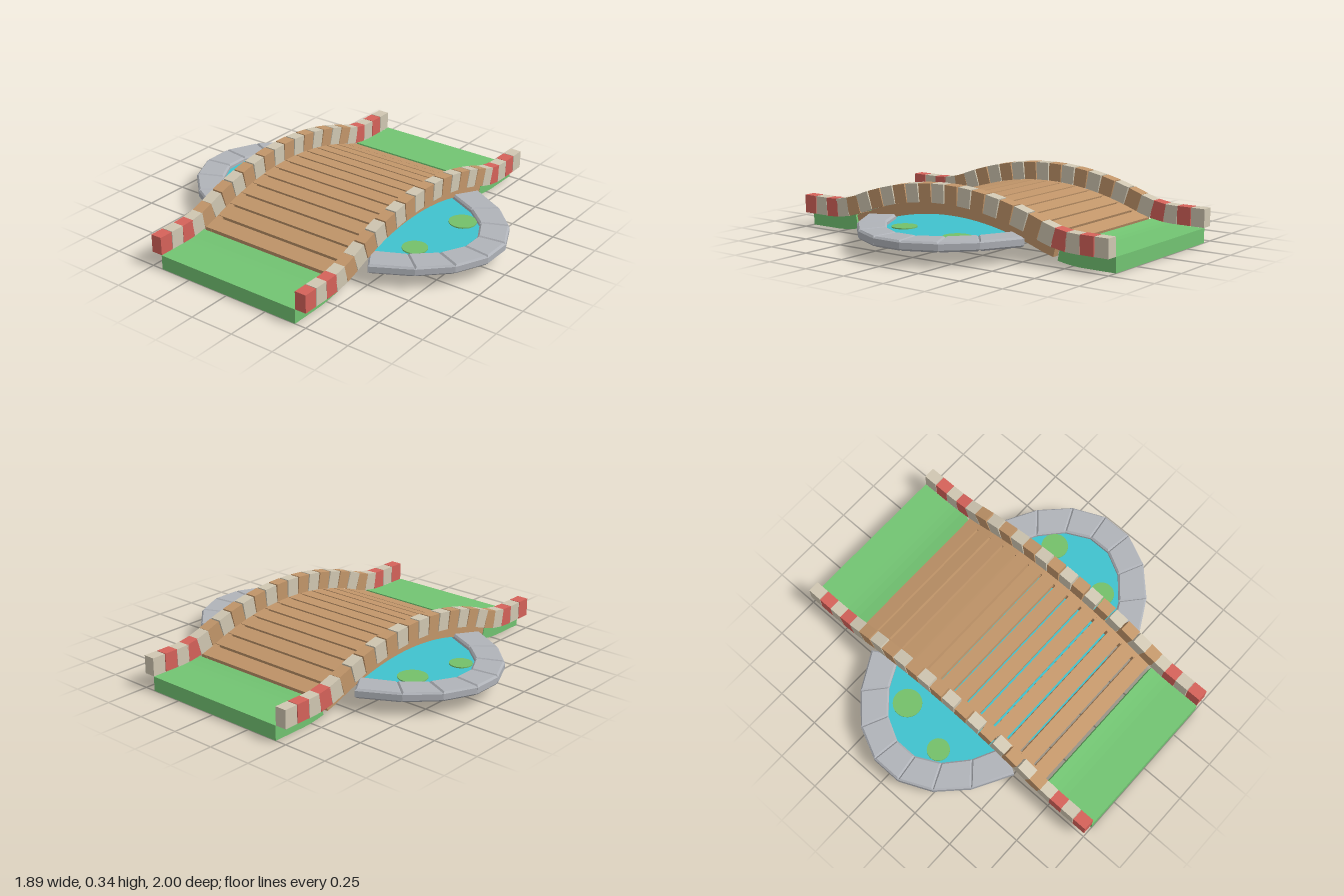
import * as THREE from 'three';

const mat = (name, color) => {
  const m = new THREE.MeshStandardMaterial({ color });
  m.name = name;
  return m;
};

// Height of the walkway surface along z: a crest that eases into flat ends
function heightAt(z) {
  const a = Math.abs(z);
  if (a < 0.573) return 0.235 - 0.33 * a * a;
  if (a < 0.82) return 0.08 + 0.766 * (a - 0.82) ** 2;
  return 0.08;
}
const slopeAt = (z) => (heightAt(z + 0.002) - heightAt(z - 0.002)) / 0.004;

// Point (z, y) at a depth measured square to the walkway surface
function pointBelow(z, depth) {
  const s = slopeAt(z), len = Math.hypot(s, 1);
  return new THREE.Vector2(z + (s / len) * depth, heightAt(z) - depth / len);
}

// Solid strip that follows the walkway from z0 to z1
function curvedStrip(name, z0, z1, top, bottom, width, steps, material) {
  const pts = [];
  for (let i = 0; i <= steps; i++) pts.push(pointBelow(z0 + ((z1 - z0) * i) / steps, bottom));
  for (let i = steps; i >= 0; i--) pts.push(pointBelow(z0 + ((z1 - z0) * i) / steps, top));
  const g = new THREE.ExtrudeGeometry(new THREE.Shape(pts), { depth: width, bevelEnabled: false });
  g.translate(0, 0, -width / 2);
  g.rotateY(-Math.PI / 2);
  const mesh = new THREE.Mesh(g, material);
  mesh.name = name;
  return mesh;
}

// Box lying on the walkway, tilted with it
function boxOnCurve(name, x, z, w, h, pitch, gap, lift, material) {
  const s = slopeAt(z), len = Math.hypot(s, 1);
  const mesh = new THREE.Mesh(new THREE.BoxGeometry(w, h, pitch * len - gap), material);
  const c = pointBelow(z, -lift);
  mesh.position.set(x, c.y, c.x);
  mesh.rotation.x = -Math.atan(s);
  mesh.name = name;
  return mesh;
}

export function createModel() {
  const wood = mat('wood', 0xc2966a);
  const grass = mat('grass', 0x72c472);
  const cream = mat('cream stone', 0xd0c7b2);
  const red = mat('red', 0xd5625a);
  const grey = mat('grey stone', 0xb0b3b9);
  const water = mat('water', 0x40c2ce);
  water.side = THREE.DoubleSide;
  const lily = mat('lily green', 0x74c06a);

  const model = new THREE.Group();
  model.name = 'pondBridge';

  // Grass ramps at both ends
  model.add(curvedStrip('frontGrass', 0.68, 1, 0, 0.08, 0.87, 8, grass));
  model.add(curvedStrip('backGrass', -1, -0.68, 0, 0.08, 0.87, 8, grass));

  // Deck planks
  const deck = new THREE.Group();
  deck.name = 'deck';
  const pitch = 1.33 / 14;
  for (let i = 0; i < 14; i++) {
    const z = -0.665 + (i + 0.5) * pitch;
    deck.add(boxOnCurve('plank', 0, z, 0.87, 0.03, pitch, 0.013, -0.015, wood));
  }
  model.add(deck);

  for (const side of [-1, 1]) {
    // Arched beam under each edge
    const beam = curvedStrip('sideBeam', -0.66, 0.66, 0.003, 0.068, 0.04, 28, wood);
    beam.position.x = side * 0.425;
    model.add(beam);

    // Curb of alternating blocks
    const curb = new THREE.Group();
    curb.name = side > 0 ? 'leftCurb' : 'rightCurb';
    const step = 2 / 24;
    for (let i = 0; i < 24; i++) {
      const m = i % 2 ? cream : i < 4 || i > 19 ? red : wood;
      const z = 1 - (i + 0.5) * step;
      curb.add(boxOnCurve('curbBlock', side * 0.468, z, 0.065, 0.1, step, 0.004, 0.05, m));
    }
    model.add(curb);

    // Stone rim on this side of the pond
    const rim = new THREE.Group();
    rim.name = side > 0 ? 'leftRim' : 'rightRim';
    const joints = [-57.5, -41, -25, -8, 8, 25, 41, 57.5];
    const corner = (deg, a, b) => {
      const t = THREE.MathUtils.degToRad(deg + (side > 0 ? 0 : 180));
      return new THREE.Vector2(a * Math.cos(t), b * Math.sin(t));
    };
    for (let i = 0; i < 7; i++) {
      const [t0, t1] = [joints[i], joints[i + 1]];
      const shape = new THREE.Shape([
        corner(t0, 0.8, 0.46), corner(t0, 0.955, 0.615),
        corner(t1, 0.955, 0.615), corner(t1, 0.8, 0.46),
      ]);
      const g = new THREE.ExtrudeGeometry(shape, {
        depth: 0.032, bevelThickness: 0.01, bevelSize: 0.01, bevelOffset: -0.009, bevelSegments: 1,
      });
      g.rotateX(Math.PI / 2);
      const stone = new THREE.Mesh(g, grey);
      stone.position.y = 0.12;
      stone.name = 'rimStone';
      rim.add(stone);
    }
    model.add(rim);
  }

  // Oval water surface running under the bridge
  const pond = new THREE.Mesh(new THREE.CircleGeometry(1, 48).rotateX(-Math.PI / 2), water);
  pond.scale.set(0.84, 1, 0.5);
  pond.position.y = 0.105;
  pond.name = 'water';
  model.add(pond);

  // Lily pads
  for (const [x, z, r] of [[-0.6, -0.17, 0.08], [-0.68, 0.13, 0.062], [0.625, -0.185, 0.075], [0.58, 0.2, 0.068]]) {
    const pad = new THREE.Mesh(new THREE.CylinderGeometry(r, r, 0.009, 24), lily);
    pad.position.set(x, 0.1065, z);
    pad.name = 'lilyPad';
    model.add(pad);
  }
  return model;
}
